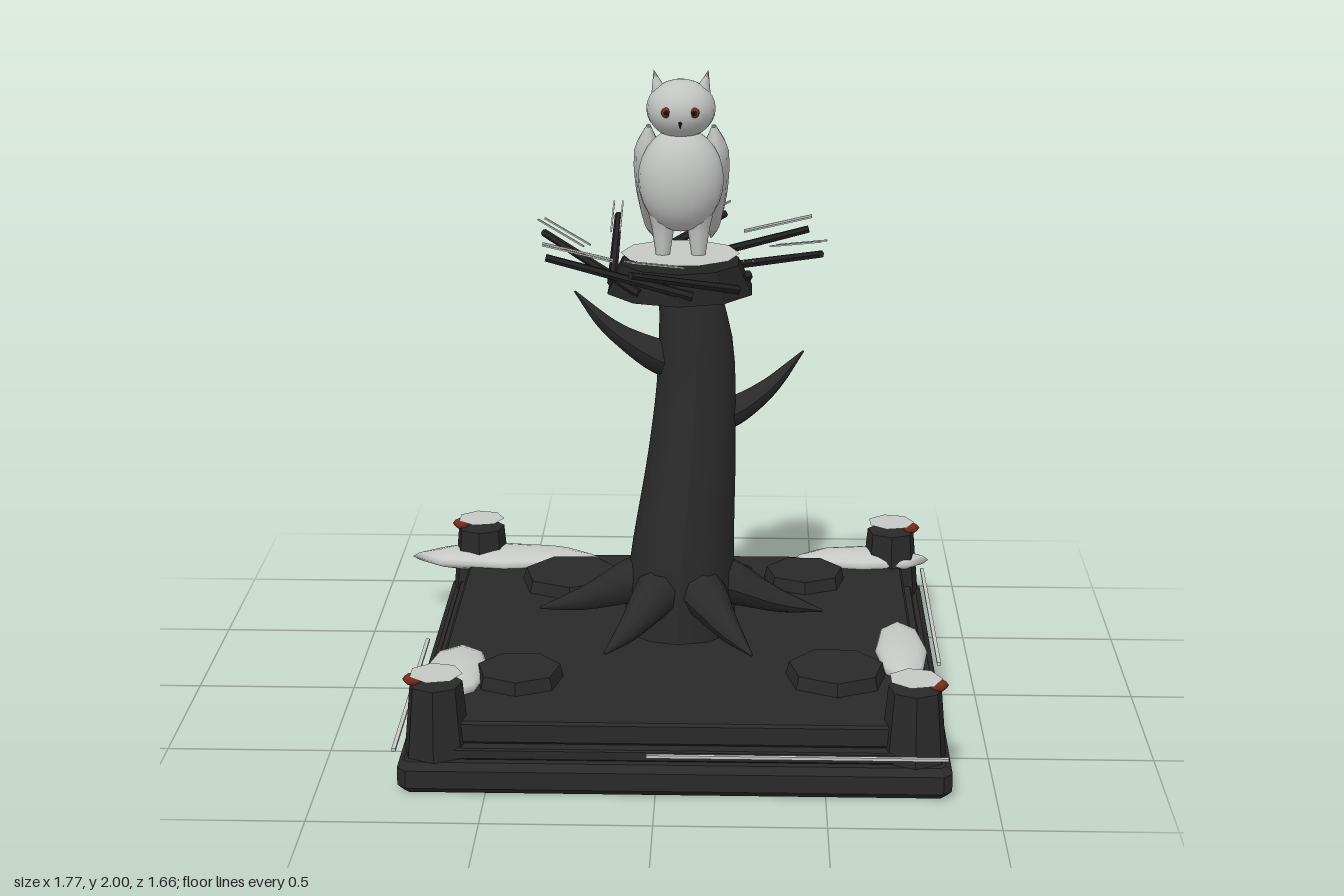
import * as THREE from 'three';

const mat = (name, color, side = THREE.FrontSide, flatShading = false) => {
  const m = new THREE.MeshStandardMaterial({ color, side, flatShading });
  m.name = name;
  return m;
};

// Tube along a smooth path whose radius follows a list of values; sx flattens it across x
function taperTube(points, radii, sides = 10, sx = 1) {
  const curve = new THREE.CatmullRomCurve3(points.map(p => new THREE.Vector3(...p)));
  const n = 16;
  const geo = new THREE.TubeGeometry(curve, n, 1, sides);
  const pos = geo.attributes.position;
  const v = new THREE.Vector3();
  for (let i = 0; i < pos.count; i++) {
    const t = Math.floor(i / (sides + 1)) / n;
    const c = curve.getPointAt(t);
    const f = t * (radii.length - 1);
    const k = Math.min(Math.floor(f), radii.length - 2);
    const r = THREE.MathUtils.lerp(radii[k], radii[k + 1], f - k);
    v.fromBufferAttribute(pos, i).sub(c).multiplyScalar(r);
    v.x *= sx;
    v.add(c);
    pos.setXYZ(i, v.x, v.y, v.z);
  }
  geo.computeVertexNormals();
  return geo;
}

// Square slab with cut corners and bevelled edges
function slab(width, y0, height, bevel) {
  const a = width / 2 - bevel, b = a - 0.015;
  const shape = new THREE.Shape([[b, -a], [a, -b], [a, b], [b, a], [-b, a], [-a, b], [-a, -b], [-b, -a]]
    .map(p => new THREE.Vector2(...p)));
  const geo = new THREE.ExtrudeGeometry(shape, {
    depth: height - 2 * bevel, bevelThickness: bevel, bevelSize: bevel, bevelSegments: 1,
  });
  return geo.rotateX(-Math.PI / 2).translate(0, y0 + bevel, 0);
}

export function createModel() {
  const group = new THREE.Group();
  const stone = mat('dark stone', 0x292929, THREE.FrontSide, true);
  const bark = mat('bark', 0x2a2a2b, THREE.DoubleSide);
  const twigWood = mat('twig wood', 0x222222, THREE.FrontSide, true);
  const snow = mat('snow', 0xc6c9c6, THREE.DoubleSide);
  const feather = mat('feathers', 0xc2c4c2, THREE.DoubleSide);
  const ember = mat('ember red', 0x7a2c1a);
  const black = mat('black', 0x141414);

  const add = (name, geo, material, x = 0, y = 0, z = 0, parent = group) => {
    const m = new THREE.Mesh(geo, material);
    m.name = name;
    m.position.set(x, y, z);
    parent.add(m);
    return m;
  };
  const ball = (name, material, p, s, w = 20, h = 14, parent = group) => {
    const m = add(name, new THREE.SphereGeometry(1, w, h), material, ...p, parent);
    m.scale.set(...s);
    return m;
  };
  const disc = (r, sides) => new THREE.CircleGeometry(r, sides).rotateX(-Math.PI / 2);

  // Stepped base
  const bx = 0.055, bz = -0.005;
  add('baseSlab', slab(1.63, 0, 0.095, 0.02), stone, bx, 0, bz);
  add('middleSlab', slab(1.55, 0.095, 0.035, 0.005), stone, bx, 0, bz);
  add('topSlab', slab(1.48, 0.13, 0.07, 0.008), stone, bx, 0, bz);

  // Corner posts with floating snow caps and embers
  for (const sx of [-1, 1]) for (const sz of [-1, 1]) {
    const x = bx + sx * 0.705, z = bz + sz * 0.705;
    add('cornerPost', new THREE.CylinderGeometry(0.08, 0.1, 0.215, 7), stone, x, 0.2025, z);
    add('postSnowCap', disc(0.08, 7), snow, x, 0.34, z);
    ball('ember', ember, [x + sx * 0.068, 0.32, z], [0.03, 0.017, 0.03], 6, 4);
  }

  // Thin snow strips, one along each edge of the base
  const strips = new THREE.Group();
  strips.name = 'edgeSnowStrips';
  strips.position.set(bx, 0.135, bz);
  group.add(strips);
  for (let i = 0; i < 4; i++) {
    const side = new THREE.Group();
    side.rotation.y = i * Math.PI / 2;
    strips.add(side);
    add('edgeSnowStrip', new THREE.BoxGeometry(0.88, 0.009, 0.012), snow, 0.36, 0, 0.822, side);
  }

  // Flat boulders
  for (const [x, z, r] of [[-0.32, -0.46, 0.175], [0.095, -0.62, 0.12], [0.46, -0.5, 0.14],
    [0.54, 0.36, 0.16], [-0.43, 0.4, 0.14]]) {
    add('boulder', new THREE.CylinderGeometry(r * 0.92, r, 0.05, 7), stone, x, 0.215, z);
  }

  // Snow drifts
  for (const [x, z, rx, rz] of [[-0.563, -0.68, 0.322, 0.1], [0.66, -0.695, 0.23, 0.085],
    [0.75, 0.16, 0.082, 0.245], [-0.625, 0.365, 0.1, 0.205]]) {
    ball('snowDrift', snow, [x, 0.209, z], [rx, 0.037, rz], 8, 8);
  }

  // Trunk, roots and broken branches
  const tree = new THREE.Group();
  tree.name = 'tree';
  group.add(tree);
  add('trunk', taperTube(
    [[0.05, 0.19, -0.08], [0.058, 0.42, -0.083], [0.09, 0.8, -0.105], [0.1, 1.1, -0.125], [0.07, 1.36, -0.13]],
    [0.18, 0.166, 0.147, 0.13, 0.118, 0.088], 12), bark, 0, 0, 0, tree);
  for (let i = 0; i < 6; i++) {
    const root = add('root', taperTube([[0.05, 0.38, 0], [0.16, 0.345, 0], [0.31, 0.285, 0], [0.455, 0.25, 0]],
      [0.085, 0.075, 0.052, 0.03, 0.004], 9), bark, 0.055, 0, -0.085, tree);
    root.rotation.y = i * Math.PI / 3;
  }
  add('rightBranch', taperTube([[0.06, 1.06, -0.12], [-0.03, 1.095, -0.11], [-0.17, 1.185, -0.1], [-0.28, 1.3, -0.1]],
    [0.065, 0.053, 0.035, 0.021, 0.003], 8), bark, 0, 0, 0, tree);
  add('leftBranch', taperTube([[0.16, 0.88, -0.13], [0.23, 0.905, -0.15], [0.33, 0.97, -0.18], [0.44, 1.08, -0.22]],
    [0.055, 0.046, 0.034, 0.02, 0.003], 8), bark, 0, 0, 0, tree);

  // Nest: tapered platform, snow bed and eight slanted twigs
  const nest = new THREE.Group();
  nest.name = 'nest';
  nest.position.set(0.05, 0, -0.08);
  group.add(nest);
  add('nestPlatform', new THREE.CylinderGeometry(0.19, 0.235, 0.09, 10), twigWood, 0, 1.36, 0, nest);
  add('nestSnow', disc(0.185, 10), snow, 0, 1.43, 0, nest);
  for (let i = 0; i < 8; i++) {
    const arm = new THREE.Group();
    arm.name = 'twigPair';
    arm.rotation.y = i * Math.PI / 4;
    nest.add(arm);
    const twig = add('twig', new THREE.CylinderGeometry(0.012, 0.015, 0.46, 6).rotateZ(-Math.PI / 2),
      twigWood, 0.18, 1.402, -0.21, arm);
    twig.rotation.z = 0.26;
    for (const dz of [-0.014, 0.014]) {
      const strip = add('twigSnow', new THREE.BoxGeometry(0.22, 0.005, 0.005), snow, 0.305, 1.478, -0.21 + dz, arm);
      strip.rotation.z = 0.23;
    }
  }

  // Owl
  const owl = new THREE.Group();
  owl.name = 'owl';
  owl.position.set(0.052, 0, -0.065);
  group.add(owl);
  ball('body', feather, [0, 1.665, 0], [0.132, 0.162, 0.105], 20, 14, owl);
  ball('head', feather, [0, 1.885, 0], [0.106, 0.09, 0.1], 20, 14, owl);
  add('tail', taperTube([[0, 1.63, -0.05], [0, 1.56, -0.11], [0, 1.5, -0.16]], [0.07, 0.05, 0.008], 8),
    feather, 0, 0, 0, owl);
  for (const s of [-1, 1]) {
    add('wing', taperTube([[s * 0.1, 1.825, -0.035], [s * 0.104, 1.76, -0.06], [s * 0.103, 1.62, -0.13],
      [s * 0.1, 1.51, -0.2], [s * 0.09, 1.42, -0.29]], [0.01, 0.062, 0.066, 0.06, 0.046, 0.032, 0.006], 10, 0.68),
    feather, 0, 0, 0, owl);
    add('leg', taperTube([[s * 0.055, 1.6, 0], [s * 0.055, 1.51, 0], [s * 0.055, 1.43, 0.005]],
      [0.055, 0.035, 0.022], 8), feather, 0, 0, 0, owl);
    const ear = add('earTuft', new THREE.ConeGeometry(0.03, 0.085, 8), feather, s * 0.073, 1.962, -0.005, owl);
    ear.rotation.z = -s * 0.25;
    ball('eye', ember, [s * 0.042, 1.887, 0.088], [0.016, 0.016, 0.009], 10, 8, owl);
    ball('pupil', black, [s * 0.042, 1.887, 0.095], [0.008, 0.008, 0.005], 8, 6, owl);
  }
  const beak = add('beak', new THREE.ConeGeometry(0.01, 0.03, 6), black, 0, 1.852, 0.093, owl);
  beak.rotation.x = Math.PI * 0.85;

  return group;
}
